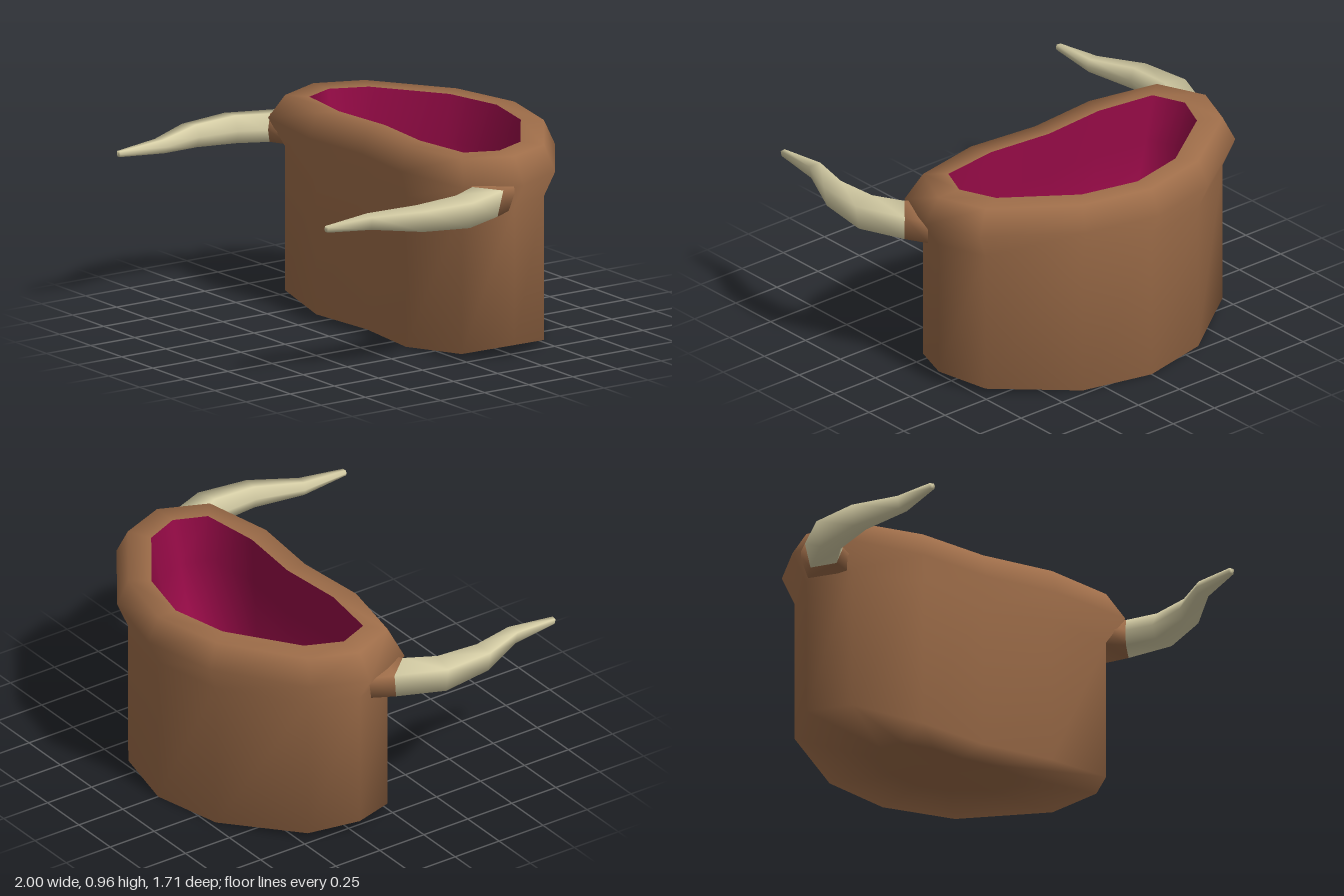
import * as THREE from 'three';
import { mergeVertices } from 'three/addons/utils/BufferGeometryUtils.js';

const brown = new THREE.MeshStandardMaterial({ color: 0x9e6d49 });
const magenta = new THREE.MeshStandardMaterial({ color: 0x930a45 });
const ivory = new THREE.MeshStandardMaterial({ color: 0xd6cea6 });

// Skin a list of equal-length closed rings of [x, y, z] points, smooth shaded.
function loft(name, rings, material) {
  const n = rings[0].length, index = [];
  for (let i = 0; i < rings.length - 1; i++) {
    for (let j = 0; j < n; j++) {
      const a = i * n + j, b = i * n + (j + 1) % n;
      index.push(a, a + n, b, b, a + n, b + n);
    }
  }
  let geo = new THREE.BufferGeometry();
  geo.setAttribute('position', new THREE.Float32BufferAttribute(rings.flat(2), 3));
  geo.setIndex(index);
  geo = mergeVertices(geo, 1e-4);
  geo.computeVertexNormals();
  const mesh = new THREE.Mesh(geo, material);
  mesh.name = name;
  return mesh;
}

// Half outlines [x, z] from the back centre round the left side to the front centre.
const wall = [[0, -0.8], [0.35, -0.72], [0.72, -0.46], [0.81, -0.23], [0.71, 0], [0.36, 0.07], [0, 0.035]];
const bulge = [[0, -0.855], [0.37, -0.77], [0.775, -0.485], [0.89, -0.225], [0.79, 0.04], [0.37, 0.1], [0, 0.065]];
const lip = [[0, -0.7], [0.285, -0.635], [0.61, -0.405], [0.685, -0.23], [0.62, -0.075], [0.325, -0.035], [0, -0.065]];

// Mirror a half outline into a full ring; y may be a number or a function of |x|.
function ring(half, y) {
  const full = [...half, ...half.slice(1, -1).reverse().map(([x, z]) => [-x, z])];
  return full.map(([x, z]) => [x, typeof y === 'number' ? y : y(Math.abs(x)), z]);
}
// Shrink a half outline towards a point on the centre line.
const shrink = (half, k, z0) => half.map(([x, z]) => [x * k, z0 + (z - z0) * k]);

// Horn cross-section (outward, up), and stations: x, y, z, half width, half height, heading.
const section = [[1, 0.8], [-0.6, 1], [-1, 0], [-0.7, -0.9], [0.7, -1]];
const hornPath = [
  [0.848, 0.785, -0.03, 0.09, 0.07, 0.88],
  [0.93, 0.783, 0.15, 0.072, 0.069, 0.15],
  [0.922, 0.785, 0.385, 0.056, 0.056, -0.2],
  [0.838, 0.787, 0.615, 0.037, 0.034, -0.2],
  [0.835, 0.785, 0.855, 0.015, 0.014, 0],
  [0.835, 0.785, 0.855, 0, 0, 0],
];
const socketPath = [[0.77, 0.785, -0.105, 0.14, 0.07, 0.88], hornPath[0]];
function hornRings(path, side) {
  const poly = side > 0 ? [...section].reverse() : section;
  return path.map(([x, y, z, w, h, angle]) => poly.map(([s, u]) => [
    side * (x + s * w * Math.cos(angle)), y + u * h, z - s * w * Math.sin(angle),
  ]));
}

export function createModel() {
  const group = new THREE.Group();
  group.name = 'hornedBowl';

  // Outer shell: closed base lifted at the sides, upright wall, swollen rim, flat top edge
  const foot = (x) => (x > 0.75 ? 0.06 : x > 0.6 ? 0.03 : 0);
  group.add(loft('outerShell', [
    ring(shrink(wall, 0, -0.3), 0),
    ring(shrink(wall, 0.45, -0.3), 0),
    ring(wall, foot),
    ring(wall, 0.72),
    ring(bulge, 0.845),
    ring(wall, 0.965),
    ring(lip, 0.965),
  ], brown));

  // Inner lining: sides leaning in towards the front, down to a floor
  group.add(loft('innerLining', [
    ring(lip, 0.965),
    ring(shrink(lip, 0.93, -0.1), 0.75),
    ring(shrink(lip, 0.8, -0.1), 0.35),
    ring(shrink(lip, 0, -0.25), 0.3),
  ], magenta));

  // A horn with its socket on each front corner
  for (const side of [1, -1]) {
    const label = side > 0 ? 'left' : 'right';
    group.add(loft(label + 'HornSocket', hornRings(socketPath, side), brown));
    group.add(loft(label + 'Horn', hornRings(hornPath, side), ivory));
  }
  return group;
}
